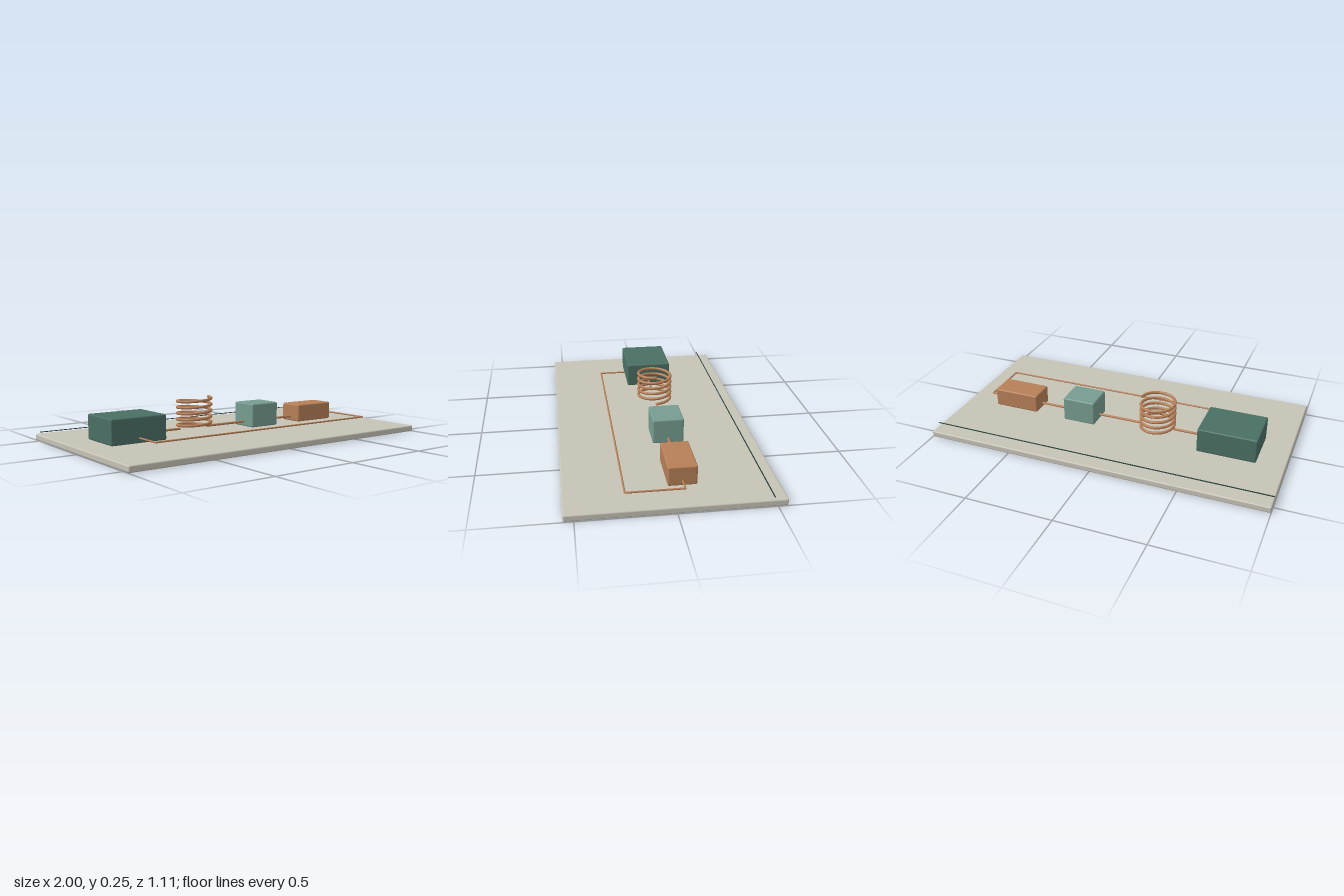
import * as THREE from 'three';
import { RoundedBoxGeometry } from 'three/addons/geometries/RoundedBoxGeometry.js';

const mat = (name, color) => {
  const m = new THREE.MeshStandardMaterial({ color });
  m.name = name;
  return m;
};

export function createModel() {
  const model = new THREE.Group();
  model.name = 'coolingLoop';
  const stone = mat('stone', 0xc6c2b6);
  const darkGreen = mat('darkGreen', 0x4a6f64);
  const paleGreen = mat('paleGreen', 0x769c90);
  const copper = mat('copper', 0xb67f57);
  const lineGreen = mat('lineGreen', 0x28453d);

  const add = (name, geometry, material) => {
    const mesh = new THREE.Mesh(geometry, material);
    mesh.name = name;
    model.add(mesh);
    return mesh;
  };

  // Softly rounded block given by its limits on each axis
  const block = (name, [x0, x1], [y0, y1], [z0, z1], r, material) =>
    add(name, new RoundedBoxGeometry(x1 - x0, y1 - y0, z1 - z0, 3, r), material)
      .position.set((x0 + x1) / 2, (y0 + y1) / 2, (z0 + z1) / 2);

  const top = 0.036, axisZ = -0.058, pipeY = 0.064;
  block('basePlate', [-1, 1], [0, top], [-0.553, 0.553], 0.008, stone);
  block('largeUnit', [-0.84, -0.5], [top, 0.18], [-0.196, 0.08], 0.009, darkGreen);
  block('middleUnit', [0.143, 0.34], [top, 0.18], [-0.146, 0.03], 0.009, paleGreen);
  block('smallUnit', [0.527, 0.804], [top, 0.145], [-0.135, 0.019], 0.009, copper);

  // Straight pipe with round section between two points
  const pipe = (name, a, b, r) => {
    const p = new THREE.Vector3(...a), q = new THREE.Vector3(...b);
    add(name, new THREE.TubeGeometry(new THREE.LineCurve3(p, q), 1, r, 10), copper);
  };

  // Pipes linking the units
  [[-0.52, -0.325], [-0.125, 0.16], [0.32, 0.55]].forEach(([a, b], i) =>
    pipe('linkPipe' + (i + 1), [a, pipeY, axisZ], [b, pipeY, axisZ], 0.007));

  // Return pipe with mitred corners closed by small balls
  const route = [[0.79, axisZ], [0.877, axisZ], [0.877, 0.244], [-0.67, 0.244], [-0.67, 0.07]]
    .map(([x, z]) => [x, pipeY, z]);
  for (let i = 0; i < route.length - 1; i++) {
    pipe('returnPipe' + (i + 1), route[i], route[i + 1], 0.005);
    if (i > 0) add('returnElbow' + i, new THREE.SphereGeometry(0.005, 10, 8), copper).position.set(...route[i]);
  }

  // Five-turn coil rising from the pipe line
  class Helix extends THREE.Curve {
    getPoint(t, target = new THREE.Vector3()) {
      const a = t * Math.PI * 10;
      return target.set(-0.225 + 0.099 * Math.cos(a), pipeY + 0.175 * t, axisZ - 0.099 * Math.sin(a));
    }
  }
  const helix = new Helix();
  add('coil', new THREE.TubeGeometry(helix, 200, 0.0085, 10), copper);
  [0, 1].forEach((t) => {
    add(t ? 'coilTopEnd' : 'coilBottomEnd', new THREE.CircleGeometry(0.0085, 10), copper);
    const cap = model.children[model.children.length - 1];
    cap.position.copy(helix.getPoint(t));
    cap.rotation.y = t ? Math.PI : 0;
  });

  // Thin raised line along the back edge
  add('backLine', new THREE.BoxGeometry(2, 0.004, 0.005), lineGreen).position.set(0, 0.055, -0.48);

  return model;
}
